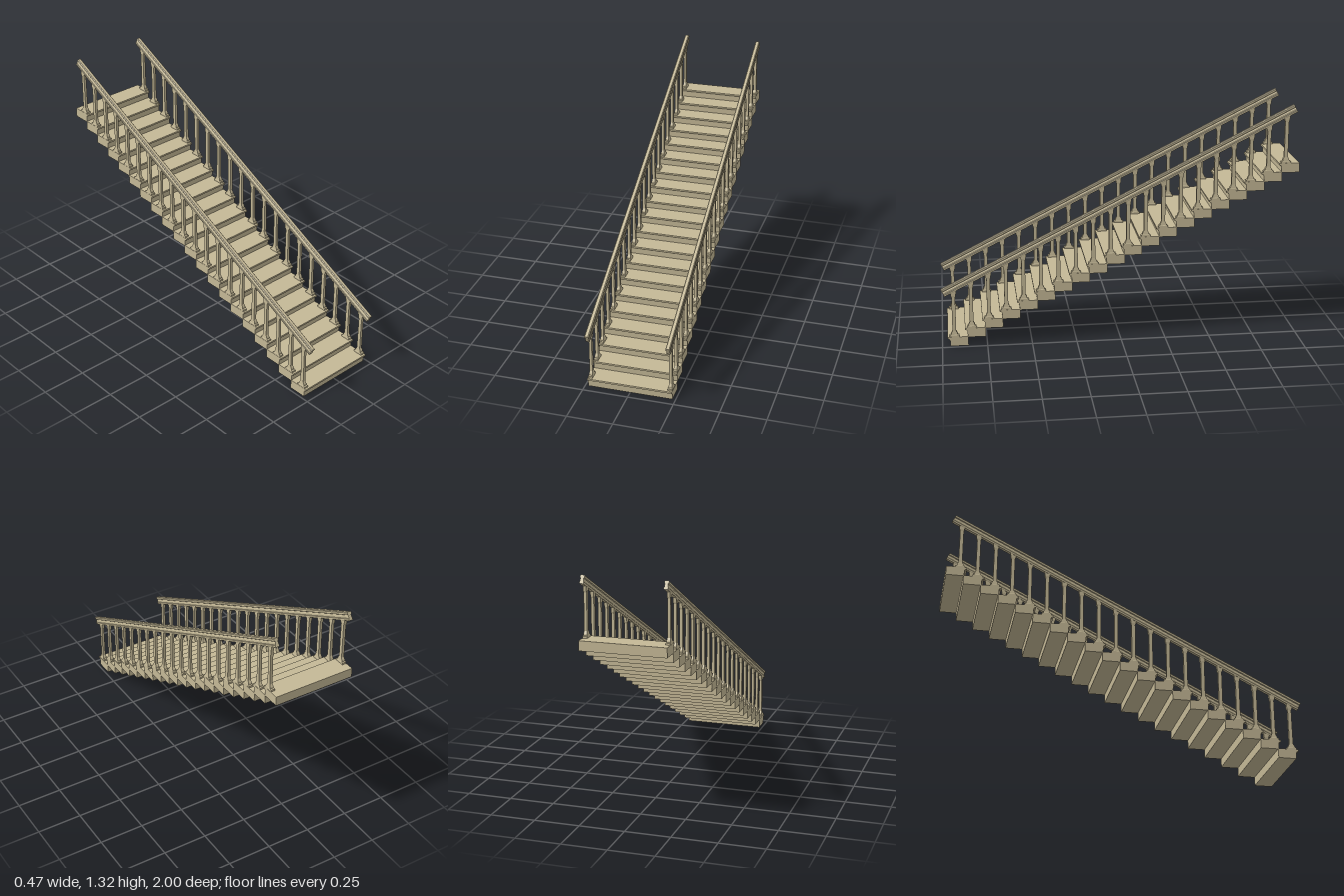
import * as THREE from 'three';

const STEPS = 20, RISE = 0.0494, RUN = 0.0974;
const HALF_WIDTH = 0.233, RAIL_X = 0.22;
const SLOPE = 0.505;

const stone = new THREE.MeshStandardMaterial({ color: 0xc4b896 });
stone.name = 'sandstone';

const shapeOf = pts => new THREE.Shape(pts.map(p => new THREE.Vector2(p[0], p[1])));

// Step cross-section (z, y) with a projecting nosing, extruded across the width
function stepGeometry() {
  const shape = shapeOf([
    [0.855, 0], [0.955, 0], [0.957, 0.034], [0.961, 0.041],
    [0.97, 0.043], [0.97, 0.053], [0.855, 0.053],
  ]);
  const g = new THREE.ExtrudeGeometry(shape, { depth: HALF_WIDTH * 2, bevelEnabled: false });
  g.rotateY(-Math.PI / 2); // profile x -> z, depth -> -x
  g.translate(HALF_WIDTH, 0, 0);
  return g;
}

// Square baluster: stacked sections of [y, half width in x, half depth in z]
function balusterGeometry(height) {
  const sections = [
    [0, 0.012, 0.027], [0.01, 0.012, 0.027], [0.013, 0.0105, 0.019],
    [0.022, 0.0095, 0.017], [0.034, 0.008, 0.0105], [height - 0.04, 0.0075, 0.01],
    [height - 0.03, 0.0085, 0.014], [height, 0.0085, 0.017],
  ];
  const pos = [];
  const quad = (a, b, c, d) => pos.push(...a, ...b, ...c, ...a, ...c, ...d);
  const ring = ([y, x, z]) => [[x, y, z], [x, y, -z], [-x, y, -z], [-x, y, z]];
  for (let i = 0; i < sections.length - 1; i++) {
    const lo = ring(sections[i]), hi = ring(sections[i + 1]);
    for (let k = 0; k < 4; k++) {
      const n = (k + 1) % 4;
      quad(lo[k], lo[n], hi[n], hi[k]);
    }
  }
  quad(...ring(sections[sections.length - 1]));
  const g = new THREE.BufferGeometry();
  g.setAttribute('position', new THREE.Float32BufferAttribute(pos, 3));
  g.computeVertexNormals();
  return g;
}

// Moulded handrail: cap, groove, waist and lower flange
function railGeometry(length) {
  const half = [
    [0.0095, 0], [0.0115, 0.003], [0.0115, 0.010], [0.009, 0.013], [0.009, 0.023],
    [0.007, 0.026], [0.007, 0.029], [0.012, 0.032], [0.012, 0.042], [0.008, 0.046],
  ];
  const mirrored = half.map(([x, y]) => [-x, y]).reverse();
  return new THREE.ExtrudeGeometry(shapeOf([...half, ...mirrored]), { depth: length, bevelEnabled: false });
}

export function createModel() {
  const model = new THREE.Group();
  model.name = 'staircase';

  const add = (parent, geometry, name, x, y, z) => {
    const mesh = new THREE.Mesh(geometry, stone);
    mesh.name = name;
    mesh.position.set(x, y, z);
    parent.add(mesh);
    return mesh;
  };

  // Flight of steps
  const flight = new THREE.Group();
  flight.name = 'steps';
  model.add(flight);
  const step = stepGeometry();
  for (let i = 0; i < STEPS; i++) add(flight, step, 'step', 0, i * RISE, -i * RUN);

  // Matching balustrades on both sides
  const baluster = balusterGeometry(0.272);
  const rail = railGeometry(1.955 * Math.hypot(1, SLOPE));
  for (const side of [-1, 1]) {
    const balustrade = new THREE.Group();
    balustrade.name = side > 0 ? 'leftBalustrade' : 'rightBalustrade';
    model.add(balustrade);
    for (let i = 0; i < STEPS; i++) {
      add(balustrade, baluster, 'baluster', side * RAIL_X, 0.053 + i * RISE, 0.932 - i * RUN);
    }
    const handrail = add(balustrade, rail, 'handrail', side * RAIL_X, 1.279, -0.976);
    handrail.rotation.x = Math.atan(SLOPE);
  }
  return model;
}
